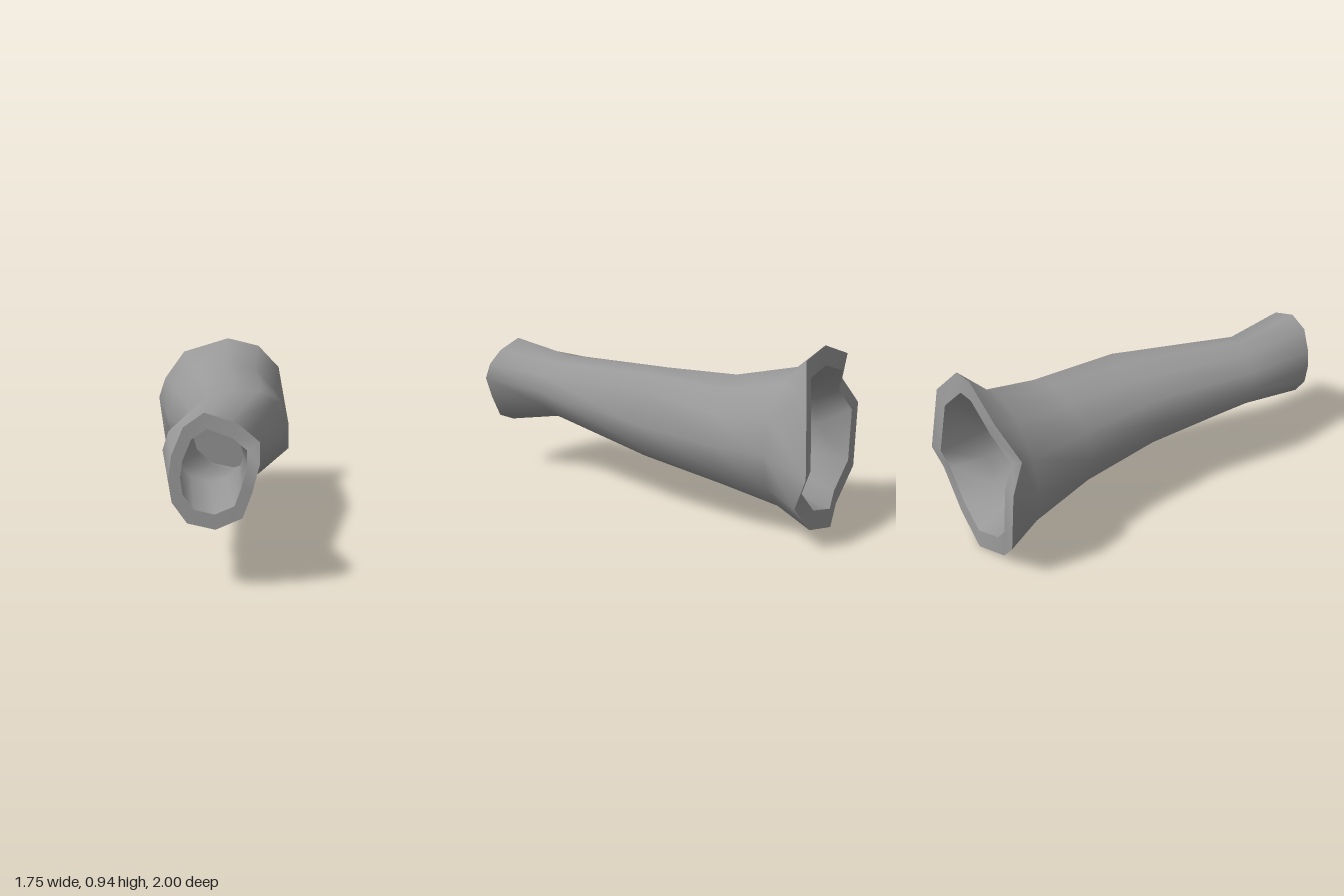
import * as THREE from 'three';

const SIDES = 12;
const v = (x, y, z) => new THREE.Vector3(x, y, z);
const toPoints = (list) => list.map((p) => v(...p));

// End outlines, counter-clockwise from the top when seen from the cuff
const cuffEdge = toPoints([
  [-0.75, 0.78, 0.81], [-0.83, 0.72, 0.77], [-0.87, 0.6, 0.74], [-0.88, 0.5, 0.73],
  [-0.87, 0.4, 0.74], [-0.82, 0.31, 0.78], [-0.73, 0.285, 0.86], [-0.64, 0.335, 0.93],
  [-0.62, 0.45, 0.97], [-0.605, 0.57, 1.0], [-0.58, 0.66, 0.97], [-0.64, 0.73, 0.91],
]);
const shoulderEdge = toPoints([
  [0.51, 0.945, -0.71], [0.3, 0.86, -0.89], [0.17, 0.7, -0.91], [0.18, 0.57, -1.0],
  [0.22, 0.23, -0.98], [0.33, 0.06, -0.86], [0.51, 0.005, -0.78], [0.69, 0.07, -0.62],
  [0.84, 0.24, -0.5], [0.87, 0.39, -0.54], [0.79, 0.76, -0.55], [0.65, 0.9, -0.58],
]);

// Oval cross-section between a left and a right edge point [x, z]
function oval(left, right, yMin, yMax) {
  const ring = [];
  for (let i = 0; i < SIDES; i++) {
    const t = (i / SIDES) * Math.PI * 2;
    const k = (1 - Math.sin(t)) / 2;
    ring.push(v(
      THREE.MathUtils.lerp(left[0], right[0], k),
      (yMin + yMax) / 2 + Math.cos(t) * (yMax - yMin) / 2,
      THREE.MathUtils.lerp(left[1], right[1], k),
    ));
  }
  return ring;
}

// Shrink a ring about its middle
function shrink(ring, s) {
  const mid = ring.reduce((sum, p) => sum.add(p), v(0, 0, 0)).divideScalar(ring.length);
  return ring.map((p) => p.clone().sub(mid).multiplyScalar(s).add(mid));
}

// Skin over a row of rings with smooth normals
function loft(name, rings, material) {
  const index = [];
  for (let r = 0; r < rings.length - 1; r++) {
    for (let i = 0; i < SIDES; i++) {
      const j = (i + 1) % SIDES;
      const a = r * SIDES, b = a + SIDES;
      index.push(b + i, b + j, a + j, b + i, a + j, a + i);
    }
  }
  const geometry = new THREE.BufferGeometry().setFromPoints(rings.flat());
  geometry.setIndex(index);
  geometry.computeVertexNormals();
  const mesh = new THREE.Mesh(geometry, material);
  mesh.name = name;
  return mesh;
}

export function createModel() {
  const group = new THREE.Group();
  group.name = 'sleeve';
  const material = new THREE.MeshStandardMaterial({ color: 0x999999, side: THREE.DoubleSide });

  // Small fold of cloth on the upper outer side of the bend
  const elbow = oval([-0.25, -0.1], [0.2, 0.2], 0.25, 0.745);
  elbow[10].set(0.18, 0.67, 0.15);
  elbow[11].set(0.1, 0.735, 0.12);

  const outer = [
    cuffEdge,
    oval([-0.65, 0.33], [-0.38, 0.69], 0.355, 0.715),
    elbow,
    oval([-0.01, -0.49], [0.54, -0.16], 0.18, 0.755),
    oval([0.13, -0.83], [0.69, -0.38], 0.1, 0.82),
    shoulderEdge,
  ];
  const wall = [0.73, 0.76, 0.8, 0.8, 0.8, 0.79];
  const inner = outer.map((ring, i) => shrink(ring, wall[i]));

  // Closed end of the shoulder hollow, part way down the sleeve
  const floorEdge = inner[3].map((p, i) => p.clone().lerp(inner[2][i], 0.5));

  group.add(
    loft('outerSleeve', outer, material),
    loft('shoulderRim', [outer[5], inner[5]], material),
    loft('innerLining', [...inner].reverse(), material),
    loft('hollowFloor', [floorEdge, shrink(floorEdge, 0)], material),
    loft('cuffRim', [inner[0], outer[0]], material),
  );
  return group;
}
